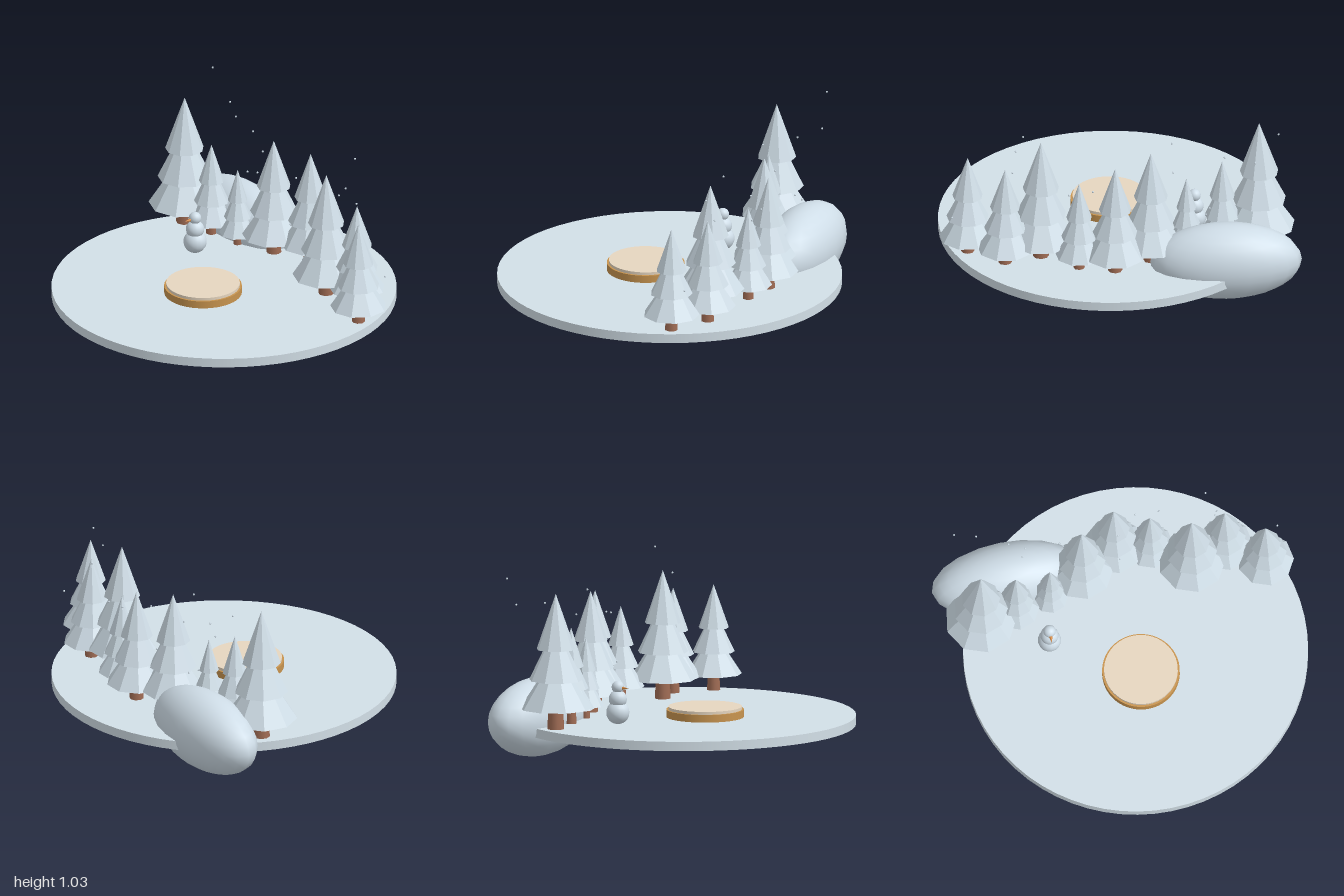
import * as THREE from 'three';

const mat = (name, color, flatShading = false) => {
  const m = new THREE.MeshStandardMaterial({ color, flatShading });
  m.name = name;
  return m;
};

export function createModel() {
  const root = new THREE.Group();
  root.name = 'winterClearing';

  const snow = mat('snow', 0xdcebf6);
  const frost = mat('frostedNeedles', 0xdcebf5, true);
  const ground = mat('packedSnow', 0xd3e0e8);
  const bark = mat('bark', 0xa06c54);
  const wood = mat('wood', 0xc8944f);
  const paleWood = mat('paleWood', 0xe6d6c0);
  const carrot = mat('carrot', 0xd88a40);

  const add = (parent, name, geometry, material, x, y, z) => {
    const mesh = new THREE.Mesh(geometry, material);
    mesh.name = name;
    mesh.position.set(x, y, z);
    parent.add(mesh);
    return mesh;
  };

  // Round snowy ground
  const top = 0.195;
  add(root, 'ground', new THREE.CylinderGeometry(0.955, 0.955, 0.052, 64), ground, 0.035, 0.169, -0.003);

  // Stretched snow mound at the back left edge
  const mound = add(root, 'snowMound', new THREE.SphereGeometry(1, 20, 14), snow, -0.58, 0.22, -0.555);
  mound.scale.set(0.42, 0.22, 0.195);

  // Wooden platform with a pale top
  const platform = new THREE.Group();
  platform.name = 'platform';
  root.add(platform);
  add(platform, 'platformBase', new THREE.CylinderGeometry(0.215, 0.215, 0.042, 48), wood, 0.035, 0.217, 0.14);
  add(platform, 'platformTop', new THREE.CylinderGeometry(0.204, 0.204, 0.016, 48), paleWood, 0.035, 0.246, 0.14);

  // Fir trees: x, z, lowest tier radius, height
  const trees = [
    [-0.774, -0.315, 0.2, 0.757],
    [-0.568, -0.35, 0.13, 0.538],
    [-0.368, -0.385, 0.102, 0.452],
    [-0.167, -0.487, 0.176, 0.677],
    [0.036, -0.592, 0.167, 0.645],
    [0.234, -0.553, 0.132, 0.532],
    [0.439, -0.41, 0.188, 0.719],
    [0.64, -0.475, 0.156, 0.588],
    [0.842, -0.34, 0.157, 0.591],
  ];
  // Tier base height, radius and cone height, relative to the tree
  const tiers = [[0.152, 1, 0.41], [0.363, 0.75, 0.41], [0.59, 0.54, 0.41]];
  for (const [x, z, r, h] of trees) {
    const tree = new THREE.Group();
    tree.name = 'firTree';
    tree.position.set(x, top, z);
    root.add(tree);
    const trunkH = h * 0.18;
    add(tree, 'trunk', new THREE.CylinderGeometry(r * 0.2, r * 0.24, trunkH, 8), bark, 0, trunkH / 2, 0);
    for (const [base, tr, th] of tiers) {
      add(tree, 'branchTier', new THREE.ConeGeometry(r * tr, h * th, 9), frost, 0, h * (base + th / 2), 0);
    }
  }

  // Snowman
  const snowman = new THREE.Group();
  snowman.name = 'snowman';
  snowman.position.set(-0.424, 0, -0.135);
  root.add(snowman);
  for (const [name, y, r] of [['body', 0.256, 0.065], ['chest', 0.331, 0.051], ['head', 0.398, 0.035]]) {
    add(snowman, name, new THREE.SphereGeometry(r, 16, 12), snow, 0, y, 0);
  }
  const nose = add(snowman, 'nose', new THREE.ConeGeometry(0.011, 0.045, 8), carrot, 0, 0.395, 0.048);
  nose.rotation.x = Math.PI / 2;

  // Drifting snowflakes
  const flake = new THREE.SphereGeometry(0.006, 6, 4);
  const flakes = [
    [-0.87, 1.027, -0.575], [-0.574, 0.855, -0.52], [-0.74, 0.86, -0.6], [-0.285, 0.9, -0.43],
    [-0.29, 0.755, -0.5], [-0.49, 0.545, -0.54], [-0.466, 0.535, -0.59], [0.041, 0.722, -0.49],
    [0.041, 0.45, -0.45], [0.16, 0.7, -0.6], [0.293, 0.682, -0.6], [0.543, 1.02, -0.53],
    [0.58, 0.877, -0.44], [0.6, 0.775, -0.5], [0.933, 0.47, -0.455], [-0.71, 0.37, -0.48],
  ];
  for (const [x, y, z] of flakes) add(root, 'snowflake', flake, snow, x, y, z);

  return root;
}
